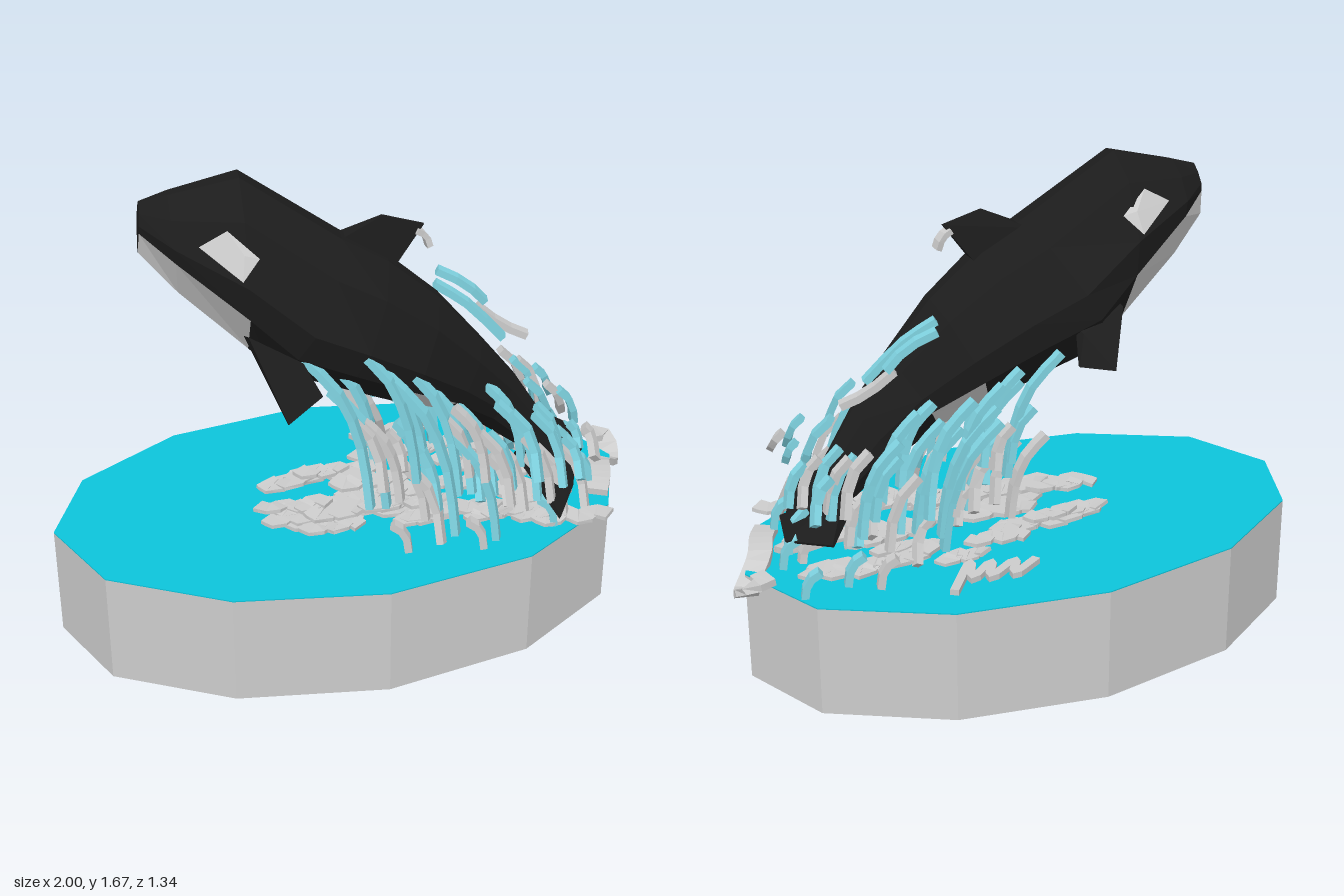
import * as THREE from 'three';
import { ConvexGeometry } from 'three/addons/geometries/ConvexGeometry.js';

const V = (x, y, z) => new THREE.Vector3(x, y, z);
const mat = (color) => new THREE.MeshStandardMaterial({ color, flatShading: true, side: THREE.DoubleSide });
const BLACK = mat(0x1c1c1c), GREY = mat(0xcccccc), WATER = mat(0x0cc4da), SPRAY = mat(0x80d4e2);

let seed = 7;
const rand = (a = 0, b = 1) => {
  seed = (seed * 16807) % 2147483647;
  return a + (b - a) * (seed / 2147483647);
};

function triangles(list) {
  const g = new THREE.BufferGeometry().setFromPoints(list);
  g.computeVertexNormals();
  return g;
}

// Skin between rings that turn counter-clockwise about the direction of travel
function loft(rings, keep = () => true, caps = true) {
  const out = [], n = rings[0].length;
  for (let i = 0; i + 1 < rings.length; i++) {
    for (let j = 0; j < n; j++) {
      if (!keep(i, j)) continue;
      const k = (j + 1) % n;
      const a = rings[i][j], b = rings[i + 1][j], c = rings[i + 1][k], d = rings[i][k];
      out.push(a, d, c, a, c, b);
    }
  }
  const s = rings[0], e = rings[rings.length - 1];
  for (let k = 1; caps && k + 1 < n; k++) out.push(s[0], s[k + 1], s[k], e[0], e[k], e[k + 1]);
  return triangles(out);
}

// Flat strip following a curve
function ribbon(points, width, thick, steps) {
  const curve = new THREE.CatmullRomCurve3(points);
  const rings = [];
  let last = null;
  for (let i = 0; i <= steps; i++) {
    const p = curve.getPoint(i / steps), t = curve.getTangent(i / steps);
    const ref = last || (Math.abs(t.y) > 0.8 ? V(-0.3, 0, 1) : V(0, 1, 0).cross(t));
    const s = ref.clone().addScaledVector(t, -ref.dot(t)).normalize();
    const n = t.clone().cross(s);
    // Strips lying flat turn freely, upright strips keep their side direction
    if (Math.abs(points[0].y - points[points.length - 1].y) > 0.05) last = s;
    rings.push([[1, -1], [1, 1], [-1, 1], [-1, -1]].map(([a, b]) =>
      p.clone().addScaledVector(s, a * width / 2).addScaledVector(n, b * thick / 2)));
  }
  return loft(rings);
}

// Body stations: top x, y, bottom x, y, half width, centre z, depth fraction of the jaw line
const STATIONS = [
  [-0.65, 1.59, -0.665, 1.42, 0.05, 0.20, 0.52],
  [-0.56, 1.615, -0.55, 1.30, 0.15, 0.18, 0.56],
  [-0.34, 1.665, -0.34, 1.11, 0.25, 0.14, 0.7],
  [-0.02, 1.45, -0.27, 1.03, 0.29, 0.11, 0.72],
  [0.13, 1.36, -0.07, 0.95, 0.275, 0.08, 0.72],
  [0.30, 1.21, 0.13, 0.86, 0.22, 0.04, 0.72],
  [0.45, 1.03, 0.30, 0.79, 0.15, 0.00, 0.72],
  [0.57, 0.87, 0.45, 0.69, 0.10, -0.05, 0.72],
  [0.68, 0.69, 0.58, 0.58, 0.07, -0.09, 0.72],
  [0.78, 0.53, 0.70, 0.50, 0.05, -0.11, 0.72],
];
// Width fraction down the half section
const WIDTHS = [0.12, 0.64, 1, 0.94, 0.48];

function bodyPoint(i, j) {
  const [tx, ty, bx, by, w, z, jaw] = STATIONS[i];
  const side = j < 5 ? 1 : -1, row = j < 5 ? j : 9 - j;
  const t = [0, 0.16, 0.7 * jaw, jaw, 1][row], s = side * w * WIDTHS[row];
  return V(tx + (bx - tx) * t + s * 0.2, ty + (by - ty) * t - s * 0.08, z + s * 0.98 + 0.02 * (0.5 - t));
}

function surfacePoint(u, v) {
  const i = Math.floor(u), j = Math.floor(v);
  const a = bodyPoint(i, j).lerp(bodyPoint(i + 1, j), u - i);
  const b = bodyPoint(i, j + 1).lerp(bodyPoint(i + 1, j + 1), u - i);
  return a.lerp(b, v - j);
}

// Fin with a thick root and thin tip
function fin(root, tip, offset) {
  const pts = tip.map((p) => V(...p));
  for (const p of root) pts.push(V(...p).add(offset), V(...p).sub(offset));
  for (const p of tip) pts.push(V(...p).addScaledVector(offset, 0.3));
  return new ConvexGeometry(pts);
}

export function createModel() {
  const model = new THREE.Group();
  const add = (name, geometry, material, parent = model) => {
    const mesh = new THREE.Mesh(geometry, material);
    mesh.name = name;
    parent.add(mesh);
  };
  const group = (name) => {
    const g = new THREE.Group();
    g.name = name;
    model.add(g);
    return g;
  };

  // Twelve-sided oval base with a water top
  const half = [[-1, 0.29], [-0.96, -0.05], [-0.67, -0.38], [-0.2, -0.61], [0.31, -0.67], [0.74, -0.56]];
  const oval = [...half, ...half.map(([x, z]) => [-0.04 - x, -z])].reverse();
  const level = (y, tilt = 0) => oval.map(([x, z]) => V(x, y + tilt * (x + 1), z));
  add('base', loft([level(0, 0.008), level(0.398)]), GREY);
  add('waterSurface', loft([level(0.398), level(0.402)]), WATER);

  // Whale body, with pale jaw and belly
  const whale = group('whale');
  const rings = STATIONS.map((_, i) => WIDTHS.concat(WIDTHS).map((_, j) => bodyPoint(i, j)));
  const pale = (i, j) => (j === 4 && i < 7) || ((j === 3 || j === 5) && (i < 2 || i === 5));
  add('body', loft(rings, (i, j) => !pale(i, j)), BLACK, whale);
  add('jawAndBelly', loft(rings, pale, false), GREY, whale);

  // Eye patches
  const corners = [[1.36, 1.6], [1.93, 1.93], [2.17, 1.4], [1.77, 1.15]];
  for (const side of [1, -1]) {
    const lift = V(-0.003, 0.004, side * 0.008);
    const at = ([u, v]) => surfacePoint(u, side > 0 ? v : 9 - v).add(lift);
    const mid = at([1.98, 1.5]), out = [];
    corners.forEach((c, k) => {
      const pair = [at(c), at(corners[(k + 1) % 4])];
      out.push(mid, ...(side > 0 ? pair : pair.reverse()));
    });
    add(side > 0 ? 'leftEyePatch' : 'rightEyePatch', triangles(out), GREY, whale);
  }

  // Fins and tail flukes
  add('dorsalFin', fin([[-0.04, 1.43, 0.1], [0.14, 1.32, 0.07]],
    [[0.11, 1.5, 0.07], [0.245, 1.46, 0.04]], V(0.008, 0, 0.035)), BLACK, whale);
  add('leftFlipper', fin([[-0.31, 1.2, 0.36], [-0.14, 1.1, 0.34]],
    [[-0.175, 0.945, 0.47], [-0.07, 1.0, 0.38]], V(0.01, 0.01, 0.025)), BLACK, whale);
  add('rightFlipper', fin([[-0.33, 1.2, -0.08], [-0.18, 1.14, -0.16]],
    [[-0.28, 1.03, -0.275], [-0.17, 1.03, -0.22]], V(0.01, 0.01, 0.02)), BLACK, whale);
  add('leftFluke', fin([[0.6, 0.57, -0.05], [0.8, 0.5, -0.12]],
    [[0.72, 0.505, 0.31], [0.78, 0.5, 0.1]], V(0.015, 0.025, 0)), BLACK, whale);
  add('rightFluke', fin([[0.6, 0.57, -0.13], [0.82, 0.5, -0.12]],
    [[0.67, 0.53, -0.4], [0.82, 0.51, -0.3]], V(0.015, 0.025, 0)), BLACK, whale);

  // Streams of water falling from both flanks, higher on the left one
  const spray = group('spray');
  for (let k = 0; k < 72; k++) {
    const side = k % 2 ? 1 : -1, grey = k % 5 < 2;
    const x = 0.06 + 0.79 * ((k * 0.618) % 1);
    const low = rand(0.41, 0.66) + (x < 0.25 ? 0.08 : 0);
    const cap = side > 0 ? 1.34 - 0.75 * x : 1.12 - 0.48 * x;
    const top = Math.max(low + 0.08, Math.min(low + rand(0.08, grey ? 0.3 : 0.6), cap));
    const h = top - low;
    const z = 0.08 - 0.2 * x + side * (0.3 - 0.13 * x + rand(-0.1, 0.08));
    const flare = side * rand(0, 0.08);
    const path = [V(x - 0.45 * h, top, z - side * h * 0.05), V(x - 0.2 * h, top - 0.25 * h, z),
      V(x - 0.06 * h, top - 0.6 * h, z + flare * 0.3), V(x, low, z + flare)];
    add('waterStream', ribbon(path, rand(0.032, 0.042), 0.025, h > 0.25 ? 6 : 3), grey ? GREY : SPRAY, spray);
  }
  // Streams along the back and fin tip
  add('backStream', ribbon([V(0.29, 1.18, -0.1), V(0.4, 1.11, -0.1), V(0.53, 0.98, -0.1)], 0.04, 0.025, 4), SPRAY, spray);
  add('backStream', ribbon([V(0.3, 1.18, -0.21), V(0.4, 1.13, -0.21), V(0.47, 1.06, -0.22)], 0.04, 0.025, 3), SPRAY, spray);
  add('backStream', ribbon([V(0.44, 1.05, -0.2), V(0.53, 0.98, -0.2), V(0.62, 0.94, -0.2)], 0.04, 0.025, 3), GREY, spray);
  add('finDrip', ribbon([V(0.22, 1.44, 0.05), V(0.25, 1.42, 0.04), V(0.265, 1.38, 0.04)], 0.04, 0.02, 3), GREY, spray);
  // Low drops thrown out around the tail
  for (const [x, z] of [[0.62, -0.5], [0.76, -0.48], [0.52, -0.55], [0.82, -0.3], [0.84, -0.05], [0.7, 0.2], [0.45, 0.4], [0.2, 0.42]]) {
    const y = rand(0.48, 0.56);
    add('drop', ribbon([V(x - 0.04, y, z), V(x, y - 0.03, z), V(x + 0.015, y - 0.1, z)], 0.038, 0.025, 3), x > 0.6 ? SPRAY : GREY, spray);
  }

  // Foam lying on the water around the whale
  const foam = group('foam');
  for (let k = 0; k < 42; k++) {
    const x = -0.31 + 1.04 * ((k * 0.618) % 1);
    const z = 0.04 - 0.2 * x + rand(-1, 1) * (x < 0 ? 0.14 + 0.3 * (x + 0.31) : 0.32);
    const len = rand(0.12, 0.26), path = [], y = rand(0.41, 0.44);
    for (let s = 0; s < 6; s++) {
      path.push(V(x + len * s / 5, y + rand(-0.008, 0.008), z - 0.04 * s / 5 + (s % 2 ? 0.018 : -0.018)));
    }
    add('foamCurl', ribbon(path, rand(0.055, 0.09), 0.014, 12), GREY, foam);
  }
  const zigzag = [[0, -0.37], [0.09, -0.46], [0.07, -0.37], [0.17, -0.47], [0.15, -0.37], [0.23, -0.47], [0.22, -0.36], [0.3, -0.55]];
  add('foamZigzag', ribbon(zigzag.map(([x, z]) => V(x, 0.412, z)), 0.03, 0.02, 28), GREY, foam);
  add('rimFoam', ribbon([V(0.88, 0.43, -0.38), V(0.94, 0.42, -0.41), V(0.96, 0.36, -0.34),
    V(0.91, 0.42, -0.22), V(0.9, 0.43, -0.1), V(0.88, 0.42, 0.0)], 0.08, 0.025, 14), GREY, foam);
  return model;
}
